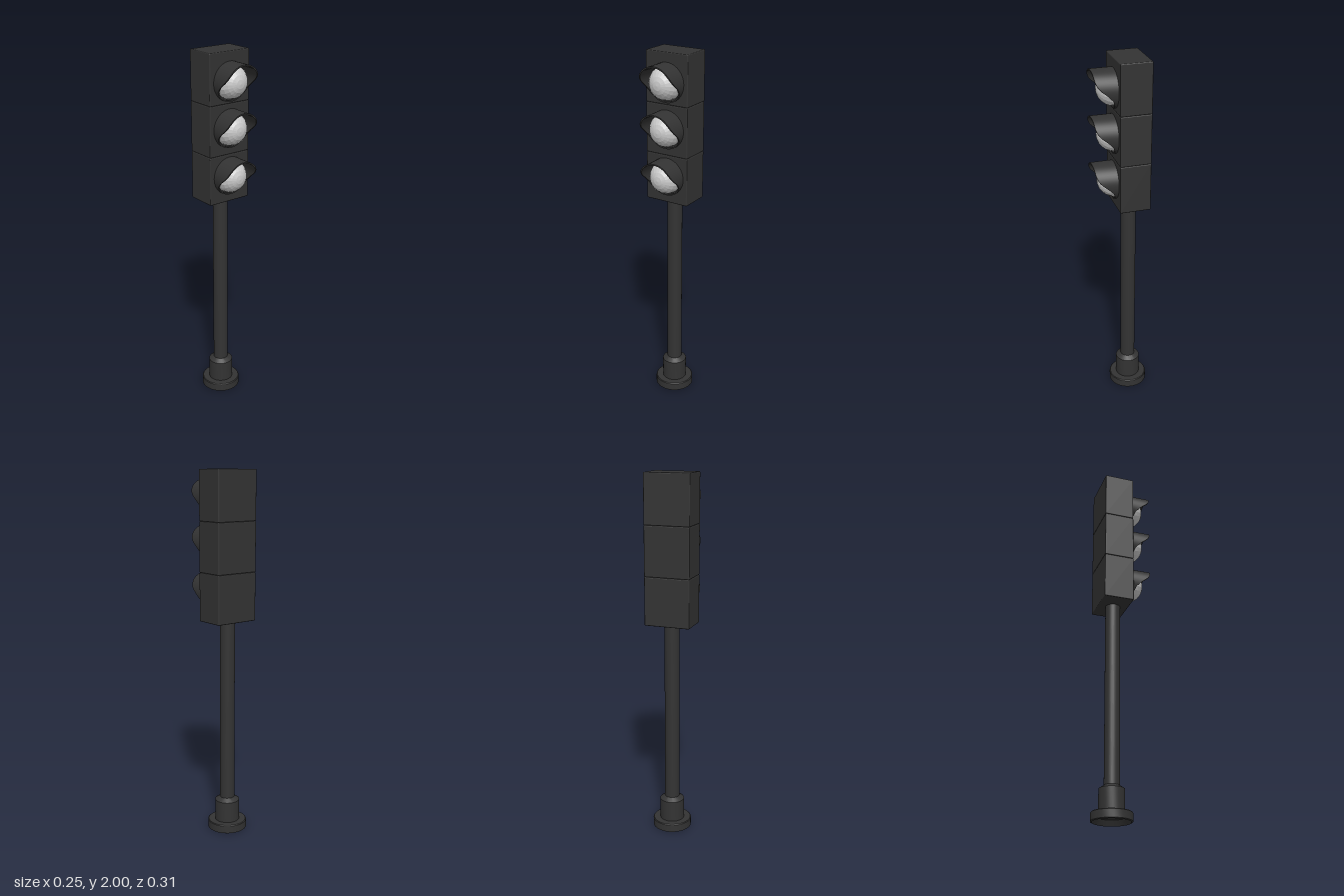
import * as THREE from 'three';
import { toCreasedNormals } from 'three/addons/utils/BufferGeometryUtils.js';
import { RoundedBoxGeometry } from 'three/addons/geometries/RoundedBoxGeometry.js';

const dark = new THREE.MeshStandardMaterial({ color: 0x333333 });
const darkThin = new THREE.MeshStandardMaterial({ color: 0x333333, side: THREE.DoubleSide });
const lensGrey = new THREE.MeshStandardMaterial({ color: 0xcccccc, flatShading: true });

const POLE_Z = -0.048;
const FRONT_Z = 0.035;

function addMesh(parent, name, geometry, material, x = 0, y = 0, z = 0) {
  const mesh = new THREE.Mesh(geometry, material);
  mesh.name = name;
  mesh.position.set(x, y, z);
  parent.add(mesh);
  return mesh;
}

function lathe(points, segments) {
  const profile = points.map(([r, y]) => new THREE.Vector2(r, y));
  return toCreasedNormals(new THREE.LatheGeometry(profile, segments), 0.5);
}

// Visor length by angle from its top (degrees): long above, a thin lip below
const VISOR_CUT = [[0, 0.12], [50, 0.116], [66, 0.107], [80, 0.089], [95, 0.055], [113, 0.026], [135, 0.013], [180, 0.008]];

function visorLength(degrees) {
  const i = Math.max(1, VISOR_CUT.findIndex(([a]) => a >= degrees));
  const [a0, l0] = VISOR_CUT[i - 1];
  const [a1, l1] = VISOR_CUT[i];
  return l0 + ((l1 - l0) * (degrees - a0)) / (a1 - a0);
}

// Tube wall along z whose front edge follows the cut
function visorGeometry(outer, inner) {
  const n = 48;
  const positions = [];
  const indices = [];
  for (let i = 0; i <= n; i++) {
    const degrees = (i / n) * 360 - 180;
    const a = THREE.MathUtils.degToRad(degrees);
    const front = visorLength(Math.abs(degrees));
    for (const [r, z] of [[outer, 0], [outer, front], [inner, front], [inner, 0]]) {
      positions.push(r * Math.sin(a), r * Math.cos(a), z);
    }
  }
  for (let i = 0; i < n; i++) {
    for (let k = 0; k < 3; k++) {
      const a = i * 4 + k;
      indices.push(a, a + 1, a + 4, a + 1, a + 5, a + 4);
    }
  }
  const geometry = new THREE.BufferGeometry();
  geometry.setAttribute('position', new THREE.Float32BufferAttribute(positions, 3));
  geometry.setIndex(indices);
  return toCreasedNormals(geometry, 0.6);
}

export function createModel() {
  const model = new THREE.Group();
  model.name = 'trafficLight';

  // Foot flange with a hollow underside, collar and pole
  addMesh(model, 'base', lathe([
    [0, 0.04], [0.085, 0.03], [0.1, 0], [0.108, 0.004], [0.108, 0.046], [0.104, 0.05], [0.066, 0.05],
  ], 32), darkThin, 0, 0, POLE_Z);
  addMesh(model, 'collar', lathe([
    [0.068, 0.045], [0.068, 0.168], [0.04, 0.187],
  ], 32), darkThin, 0, 0, POLE_Z);
  const pole = new THREE.CylinderGeometry(0.041, 0.041, 1.06, 32);
  addMesh(model, 'pole', pole, dark, 0, 0.68, POLE_Z);

  // Three stacked signal heads
  const visor = visorGeometry(0.103, 0.096);
  const lens = new THREE.SphereGeometry(0.09, 20, 6, 0, Math.PI * 2, 0, Math.PI / 2).rotateX(Math.PI / 2);
  const sections = [
    { bottom: 1.2, top: 1.463, lampY: 1.345 },
    { bottom: 1.463, top: 1.733, lampY: 1.603 },
    { bottom: 1.733, top: 2.0, lampY: 1.847 },
  ];
  for (const { bottom, top, lampY } of sections) {
    const head = new THREE.Group();
    head.name = 'signalHead';
    model.add(head);
    const box = new RoundedBoxGeometry(0.252, top - bottom, 0.168, 2, 0.005);
    addMesh(head, 'housing', box, dark, 0, (bottom + top) / 2, FRONT_Z - 0.084);
    addMesh(head, 'visor', visor, darkThin, 0.001, lampY, FRONT_Z);
    addMesh(head, 'lens', lens, lensGrey, 0.001, lampY, FRONT_Z);
  }
  return model;
}
